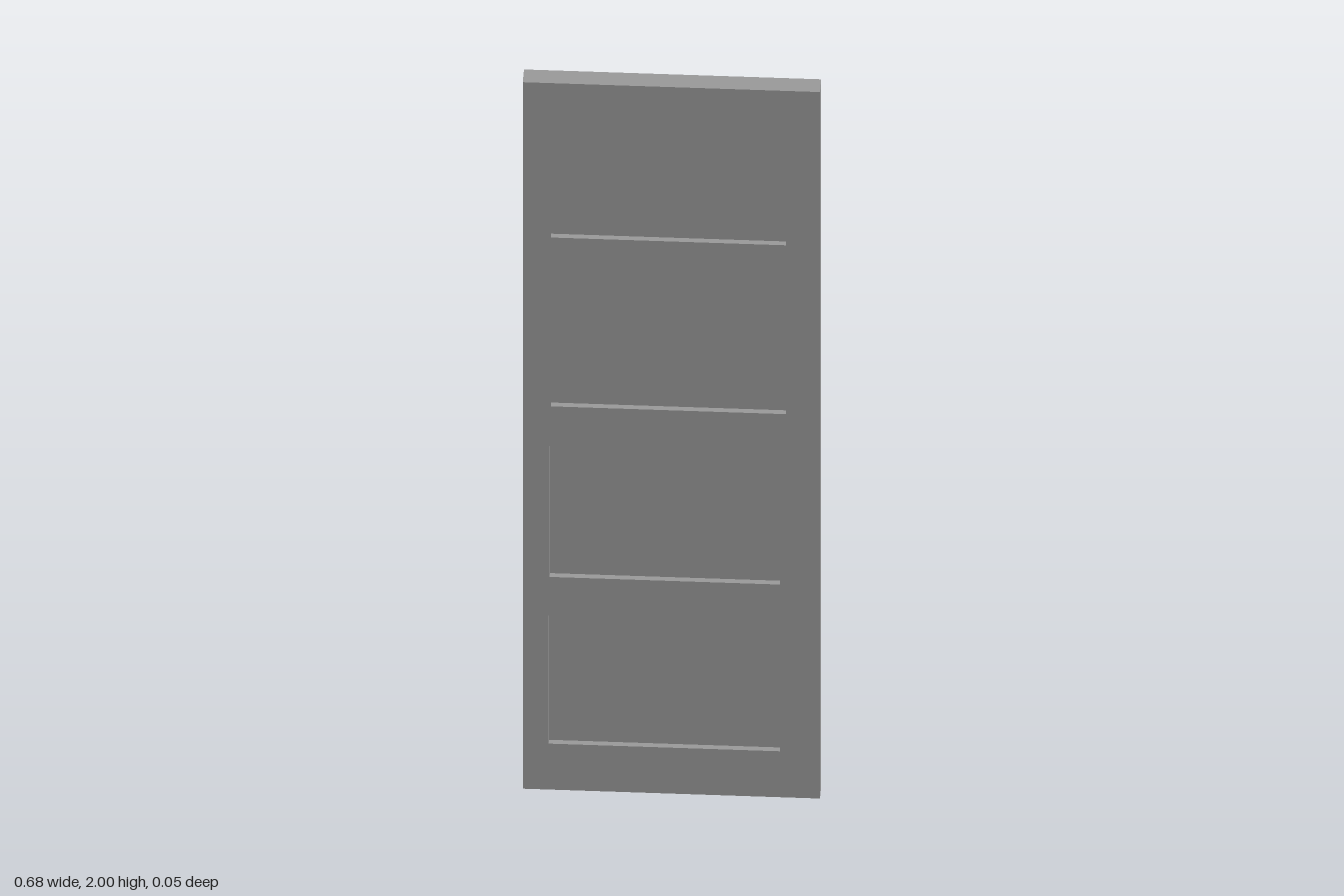
import * as THREE from 'three';

const WIDTH = 0.683, HEIGHT = 2, DEPTH = 0.05, RECESS = 0.015;

// Recessed fields: left, right, bottom, top
const FIELDS = [
  [-0.277, 0.263, 1.563, 1.94],
  [-0.277, 0.263, 1.085, 1.46],
  [-0.28, 0.25, 0.602, 0.973],
  [-0.282, 0.25, 0.13, 0.492],
];

function rectangle(target, x0, x1, y0, y1) {
  target.moveTo(x0, y0);
  target.lineTo(x1, y0);
  target.lineTo(x1, y1);
  target.lineTo(x0, y1);
  target.closePath();
  return target;
}

export function createModel() {
  const door = new THREE.Group();
  door.name = 'door';
  const grey = new THREE.MeshStandardMaterial({ color: 0x999999 });
  grey.name = 'grey';

  // Outer frame with four openings
  const outline = rectangle(new THREE.Shape(), -WIDTH / 2, WIDTH / 2, 0, HEIGHT);
  outline.holes = FIELDS.map((f) => rectangle(new THREE.Path(), ...f));
  const frameGeometry = new THREE.ExtrudeGeometry(outline, { depth: DEPTH, bevelEnabled: false });
  frameGeometry.translate(0, 0, -DEPTH / 2);
  const frame = new THREE.Mesh(frameGeometry, grey);
  frame.name = 'frame';
  door.add(frame);

  // Thinner panels set back from both faces
  FIELDS.forEach(([x0, x1, y0, y1], i) => {
    const panel = new THREE.Mesh(new THREE.BoxGeometry(x1 - x0, y1 - y0, DEPTH - 2 * RECESS), grey);
    panel.position.set((x0 + x1) / 2, (y0 + y1) / 2, 0);
    panel.name = `panel${i + 1}`;
    door.add(panel);
  });

  return door;
}
